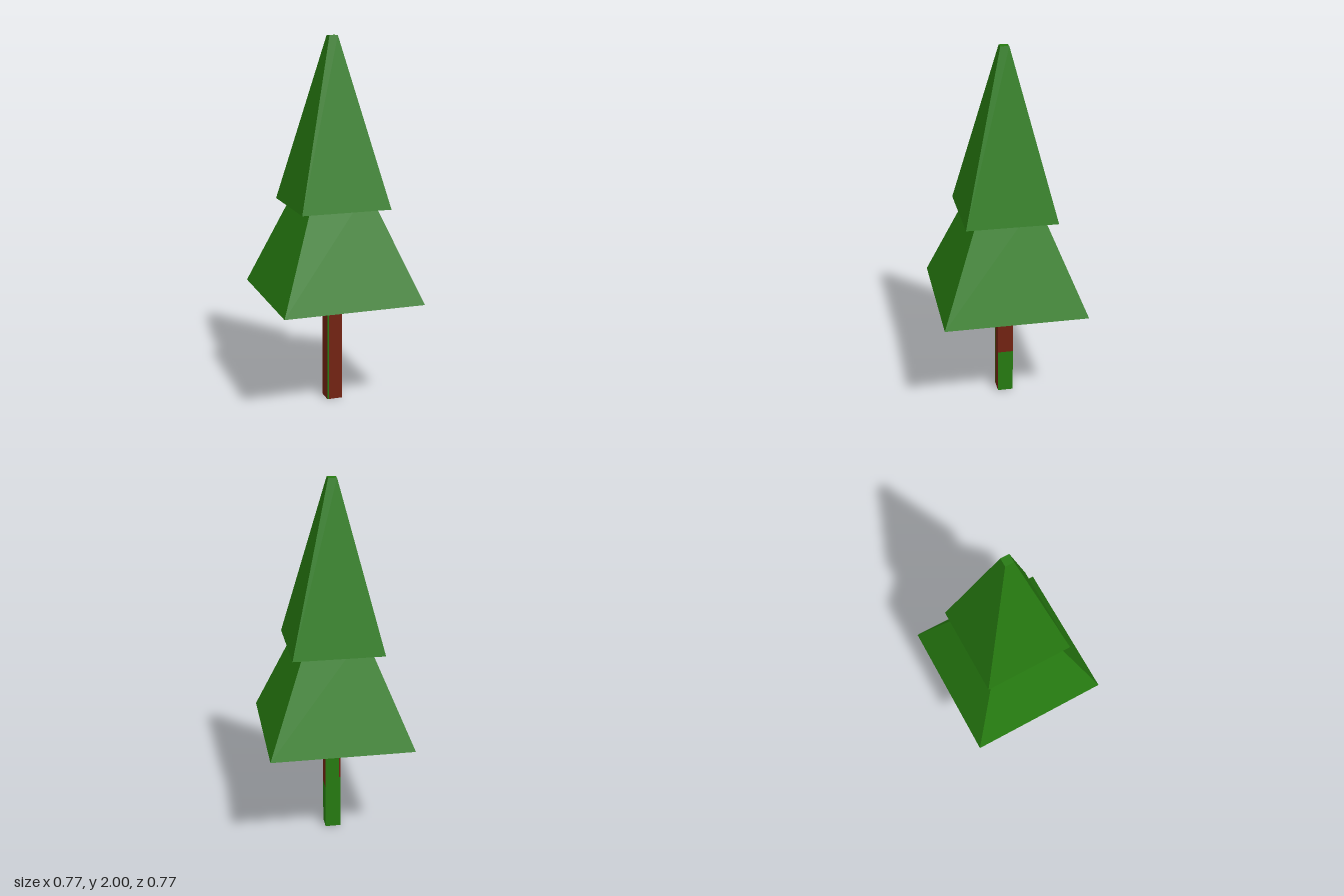
import * as THREE from 'three';

const mat = (name, color, flatShading = true) =>
  Object.assign(new THREE.MeshStandardMaterial({ color, flatShading }), { name });

export function createModel() {
  const green = mat('needleGreen', 0x267a10);
  const brown = mat('barkBrown', 0x722211);
  const model = new THREE.Group();
  model.name = 'firTree';

  function add(name, geometry, material, x, y, z) {
    const mesh = new THREE.Mesh(geometry, material);
    mesh.name = name;
    mesh.position.set(x, y, z);
    model.add(mesh);
  }

  // Square tapered foliage tier, given by half widths and heights
  function tier(name, bottomHalf, topHalf, y0, y1) {
    const g = new THREE.CylinderGeometry(topHalf * Math.SQRT2, bottomHalf * Math.SQRT2, y1 - y0, 4);
    g.rotateY(Math.PI / 4);
    add(name, g, green, 0, (y0 + y1) / 2, 0);
  }
  tier('lowerFoliage', 0.385, 0.147, 0.61, 1.2);
  tier('upperFoliage', 0.245, 0.023, 1.105, 2);

  // Trunk: side order is +x, -x, top, bottom, front, back
  const w = 0.086;
  const trunk = (name, y0, y1, side) => add(name, new THREE.BoxGeometry(w, y1 - y0, w),
    [side, brown, brown, brown, brown, green], 0, (y0 + y1) / 2, 0);
  trunk('lowerTrunk', 0, 0.25, green);
  trunk('upperTrunk', 0.25, 0.61, brown);

  // Narrow colour strips along the trunk's right-hand corners
  const strip = (name, y0, y1, z, material) => add(name,
    new THREE.BoxGeometry(0.01, y1 - y0, 0.002), material, -w / 2 + 0.005, (y0 + y1) / 2, z);
  strip('frontMossStrip', 0, 0.61, w / 2, green);
  strip('backBarkStrip', 0.31, 0.61, -w / 2, brown);

  return model;
}
